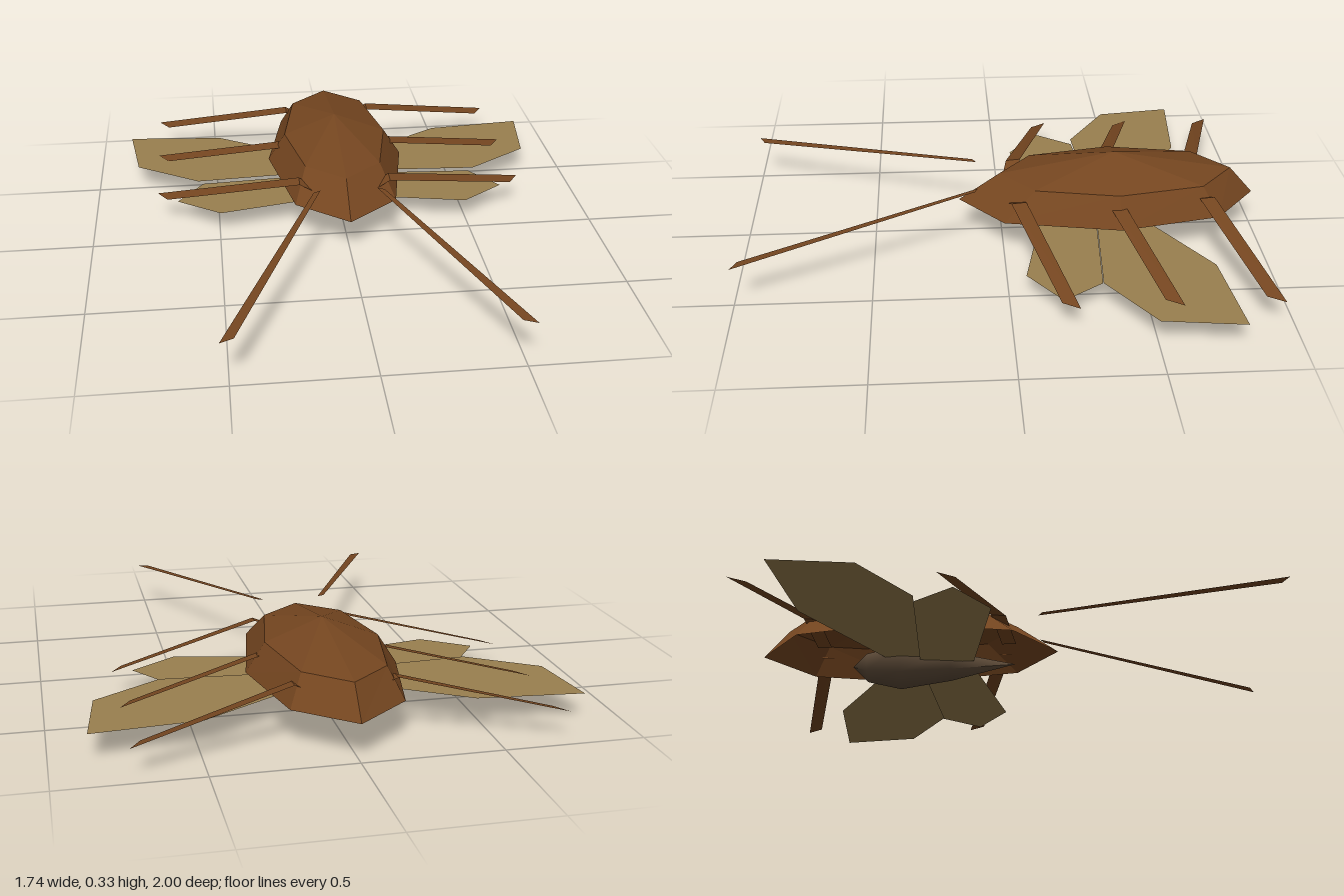
import * as THREE from 'three';

const mat = (name, color) => Object.assign(
  new THREE.MeshStandardMaterial({ color, side: THREE.DoubleSide }), { name });

// Flat-shaded geometry from a list of convex polygons, corners anticlockwise
function polygons(faces) {
  const pos = [];
  for (const f of faces)
    for (let i = 1; i < f.length - 1; i++) pos.push(...f[0], ...f[i], ...f[i + 1]);
  const g = new THREE.BufferGeometry();
  g.setAttribute('position', new THREE.Float32BufferAttribute(pos, 3));
  g.computeVertexNormals();
  return g;
}

export function createModel() {
  const brown = mat('shell brown', 0x754620);
  const olive = mat('wing olive', 0x997f4f);
  const dark = mat('body dark brown', 0x5a4836);
  const model = new THREE.Group();
  model.name = 'insect';

  const add = (name, geometry, material) => {
    const mesh = new THREE.Mesh(geometry, material);
    mesh.name = name;
    model.add(mesh);
  };

  // Thin plates and their mirror image
  const addPair = (name, plates, material) => {
    add('left' + name, polygons(plates), material);
    add('right' + name, polygons(plates.map(
      (pts) => pts.map(([x, y, z]) => [-x, y, z]).reverse())), material);
  };

  // Open domed shell: lower rim, shoulder ring and peak
  const ring = (half, y) => [
    ...half, ...half.slice(1, -1).reverse().map(([x, z]) => [-x, z]),
  ].map(([x, z]) => [x, y, z]);
  const rim = ring([[0, 0.168], [0.2, 0], [0.28, -0.44], [0.2, -0.83], [0, -1]], 0.137);
  const shoulder = ring([[0, 0.01], [0.15, -0.12], [0.21, -0.44], [0.15, -0.77], [0, -0.905]], 0.247);
  const peak = [0, 0.33, -0.44];
  const faces = [];
  rim.forEach((p, i) => {
    const j = (i + 1) % rim.length;
    faces.push([p, rim[j], shoulder[j], shoulder[i]], [peak, shoulder[i], shoulder[j]]);
  });
  add('shell', polygons(faces), brown);

  // Five-sided spindle body under the shell
  const profile = [[0, -0.64], [0.06, -0.58], [0.09, -0.45], [0.06, -0.25], [0, 0]]
    .map(([r, z]) => new THREE.Vector2(r, z));
  const body = new THREE.LatheGeometry(profile, 5, Math.PI / 2);
  body.rotateX(Math.PI / 2).translate(0, 0.086, 0);
  add('body', body, dark);

  // Flat wings, the small pair just under the large pair
  const flat = (y, pts) => [pts.map(([x, z]) => [x, y, z])];
  addPair('LargeWing', flat(0.098, [[0.04, -0.37], [0.58, -0.335], [0.83, -0.5],
    [0.868, -0.8], [0.48, -0.765], [0.04, -0.49]]), olive);
  addPair('SmallWing', flat(0.085, [[0.04, -0.16], [0.495, -0.063], [0.665, -0.185],
    [0.56, -0.336], [0.04, -0.37]]), olive);

  // Three pairs of strip legs: a short inner part rising to a knee, then a long outer part
  [['Front', -0.235], ['Middle', -0.6], ['Back', -0.96]].forEach(([name, z]) => {
    const kneeFront = [0.18, 0.21, z + 0.207], kneeBack = [0.18, 0.215, z + 0.15];
    addPair(name + 'Leg', [
      [kneeFront, [0.705, 0.102, z + 0.062], [0.745, 0.102, z], kneeBack],
      [[0.05, 0.15, z + 0.24], kneeFront, kneeBack, [0.05, 0.15, z + 0.185]],
    ], brown);
  });

  // Long antennae
  addPair('Antenna', [[[0.11, 0.243, 0.095], [0.478, 0.17, 0.978],
    [0.527, 0.169, 1], [0.138, 0.242, 0.11]]], brown);

  return model;
}
